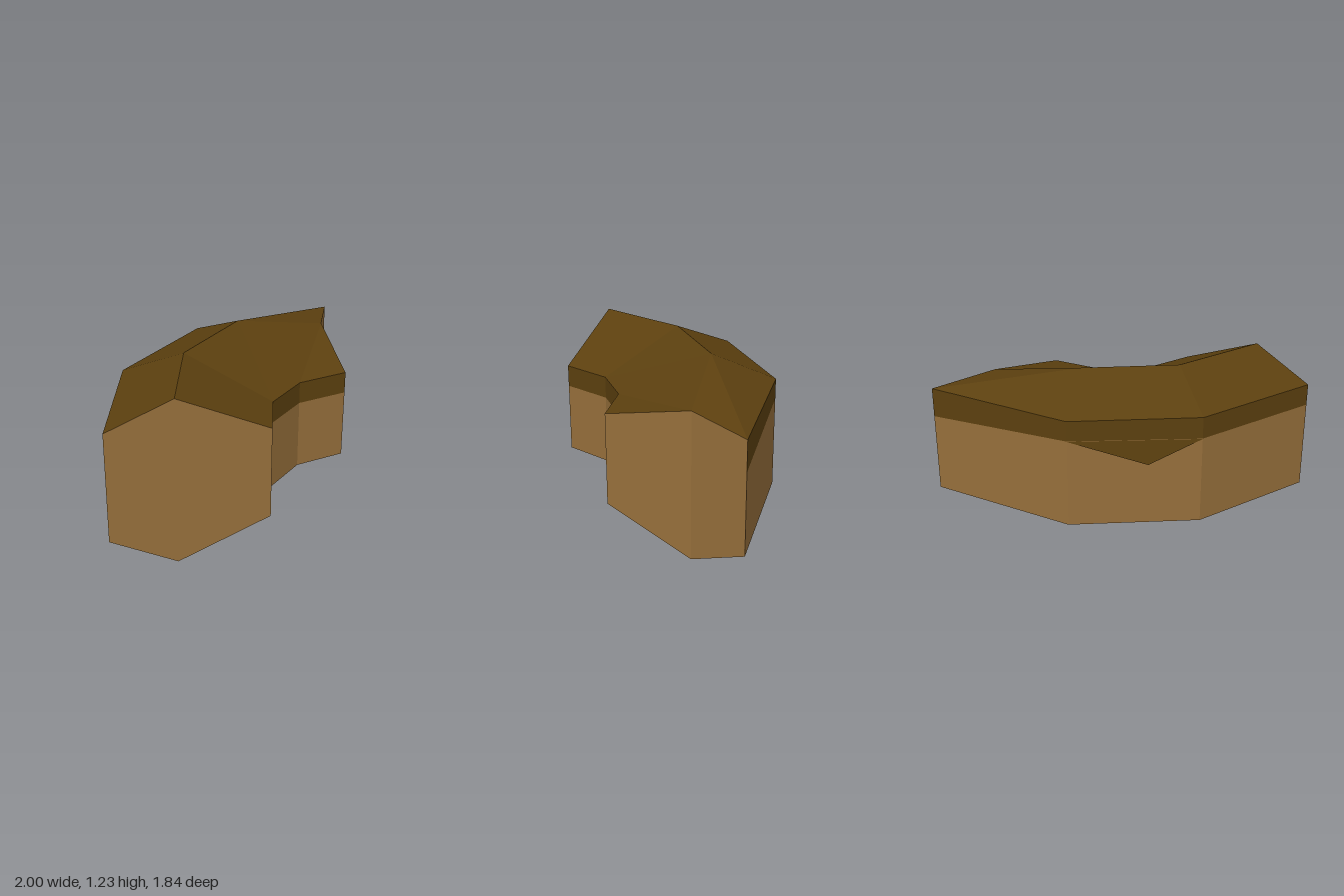
import * as THREE from 'three';

const wood = new THREE.MeshStandardMaterial({ color: 0x966f3b });
wood.name = 'light brown';
const bark = new THREE.MeshStandardMaterial({ color: 0x5c400f });
bark.name = 'dark brown';

// Plan positions [x, z] of each station along the bend, plus its ridge height and outer colour line
const stations = [
  { outer: [-1, 0.915], ridge: [-0.54, 0.915], inner: [0.1, 0.915], top: 1.23, line: 0.87 },
  { outer: [-0.76, -0.02], ridge: [-0.36, 0.22], inner: [0.2, 0.535], top: 1.23, line: 0.87 },
  { outer: [-0.1, -0.68], ridge: [0.13, -0.28], inner: [0.46, 0.28], top: 1.23, line: 0.88 },
  { outer: [1, -0.92], ridge: [0.83, -0.46], inner: [0.83, 0.18], top: 1.08, line: 0.81 },
];

// Cross-section, counter-clockwise seen from the front end
const rings = stations.map(({ outer, ridge, inner, top, line }) => {
  const at = ([x, z], y) => [x, y, z];
  return [
    at(inner, 0.28), at(inner, 0.79), at(inner, 0.95), at(ridge, top),
    at(outer, 1.03), at(outer, line), at(outer, 0.22), at(ridge, 0),
  ];
});

// Flat-shaded mesh from a list of triangles
function facetMesh(name, triangles, material) {
  const geometry = new THREE.BufferGeometry();
  geometry.setAttribute('position', new THREE.Float32BufferAttribute(triangles.flat(2), 3));
  geometry.computeVertexNormals();
  const mesh = new THREE.Mesh(geometry, material);
  mesh.name = name;
  return mesh;
}

// Join the chosen sides of neighbouring sections
function sweep(sides) {
  const triangles = [];
  for (let i = 0; i < rings.length - 1; i++) {
    for (const j of sides) {
      const k = (j + 1) % 8;
      const [a, b, c, d] = [rings[i][j], rings[i + 1][j], rings[i + 1][k], rings[i][k]];
      triangles.push([a, b, c], [a, c, d]);
    }
  }
  return triangles;
}

// End face, fanned from the top ridge so it folds down its middle
function endFace(ring, flip) {
  const triangles = [];
  for (let s = 1; s < 7; s++) {
    const b = ring[(3 + s) % 8], c = ring[(4 + s) % 8];
    triangles.push(flip ? [ring[3], c, b] : [ring[3], b, c]);
  }
  return triangles;
}

export function createModel() {
  const group = new THREE.Group();
  group.name = 'bentBlock';

  group.add(facetMesh('lowerBody', sweep([0, 5, 6, 7]), wood));
  group.add(facetMesh('upperCover', sweep([1, 2, 3, 4]), bark));
  group.add(facetMesh('frontEnd', endFace(rings[0], false), wood));
  group.add(facetMesh('sideEnd', endFace(rings[3], true), wood));

  // Pointed flap of the cover hanging over the outer wall
  const lift = ([x, y, z]) => [x - 0.004, y, z - 0.004];
  const tip = [-0.51, 0.69, -0.3];
  group.add(facetMesh('coverFlap', [[lift(rings[2][5]), tip, lift(rings[1][5])]], bark));

  return group;
}
